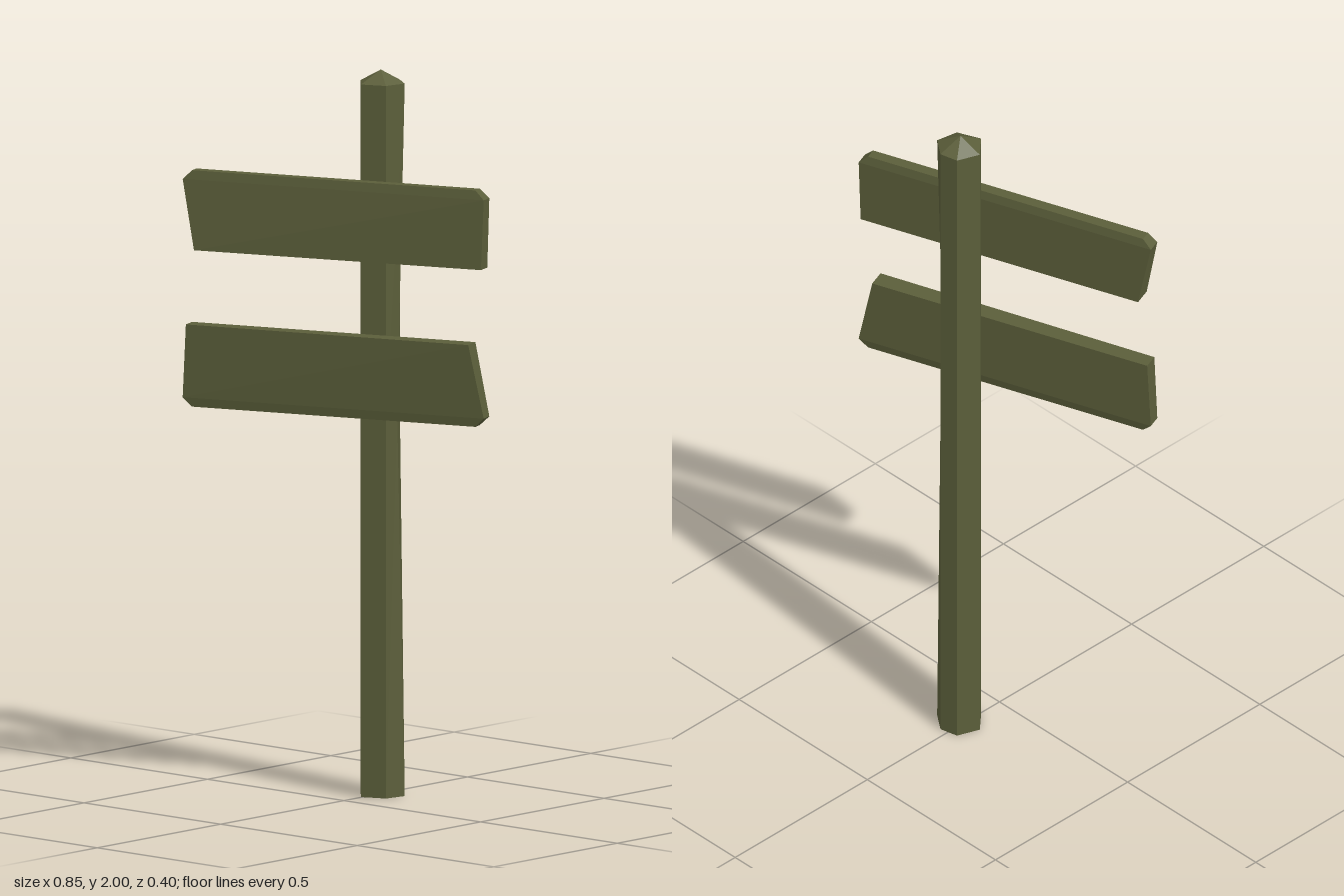
import * as THREE from 'three';
import { ConvexGeometry } from 'three/addons/geometries/ConvexGeometry.js';

const wood = new THREE.MeshStandardMaterial({ color: 0x5b5e3a });
wood.name = 'mossy wood';

// Post: an uneven hexagon lofted through rings, with a shallow pointed cap
function makePost() {
  const hex = [[0.024, -0.2], [0.075, -0.163], [0.063, -0.1], [-0.003, -0.072], [-0.052, -0.125], [-0.028, -0.188]];
  const waist = hex.map(([x, z], i) => (i === 1 ? [0.062, -0.147] : [x, z]));
  const ring = (outline, y) => outline.map(([x, z]) => [x, y, z]);
  const rings = [ring(hex, 0), ring(waist, 1.05), ring(hex, 1.965)];
  const base = [0.012, 0, -0.136], apex = [0.012, 2, -0.136];
  const positions = [];
  const face = (...corners) => corners.forEach((c) => positions.push(...c));

  for (let i = 0; i < 6; i++) {
    const j = (i + 1) % 6;
    for (let r = 0; r < 2; r++) {
      const low = rings[r], high = rings[r + 1];
      face(low[j], low[i], high[i]);
      face(low[j], high[i], high[j]);
    }
    face(rings[2][j], rings[2][i], apex);
    face(rings[0][i], rings[0][j], base);
  }
  const geometry = new THREE.BufferGeometry();
  geometry.setAttribute('position', new THREE.Float32BufferAttribute(positions, 3));
  geometry.computeVertexNormals();
  return geometry;
}

// Board: one plain long edge, the other long edge bevelled with clipped corners.
// Each outline point is [along, height, back depth, front depth].
function makeBoard(outline) {
  const points = [];
  for (const [u, y, back, front] of outline) {
    points.push(new THREE.Vector3(u, y, back), new THREE.Vector3(u, y, front));
  }
  return new ConvexGeometry(points);
}

export function createModel() {
  const group = new THREE.Group();
  group.name = 'signpost';

  const add = (name, geometry) => {
    const mesh = new THREE.Mesh(geometry, wood);
    mesh.name = name;
    group.add(mesh);
    return mesh;
  };

  add('post', makePost());

  const boards = [
    { name: 'upperBoard', plain: 1.5, shoulder: 1.692, edge: 1.717, left: -0.415, right: 0.425, depth: [0.063, 0.054] },
    { name: 'lowerBoard', plain: 1.292, shoulder: 1.09, edge: 1.065, left: -0.443, right: 0.39, depth: [0.053, 0.06] },
  ];
  for (const b of boards) {
    const mesh = add(b.name, makeBoard([
      [b.left, b.plain, 0.009, b.depth[0]],
      [b.right, b.plain, 0.009, b.depth[1]],
      [0.431, b.shoulder, 0.009, 0.049],
      [0.405, b.edge, 0.014, 0.045],
      [-0.428, b.edge, 0.014, 0.045],
      [-0.454, b.shoulder, 0.009, 0.049],
    ]));
    mesh.rotation.y = THREE.MathUtils.degToRad(19.6);
  }
  return group;
}
